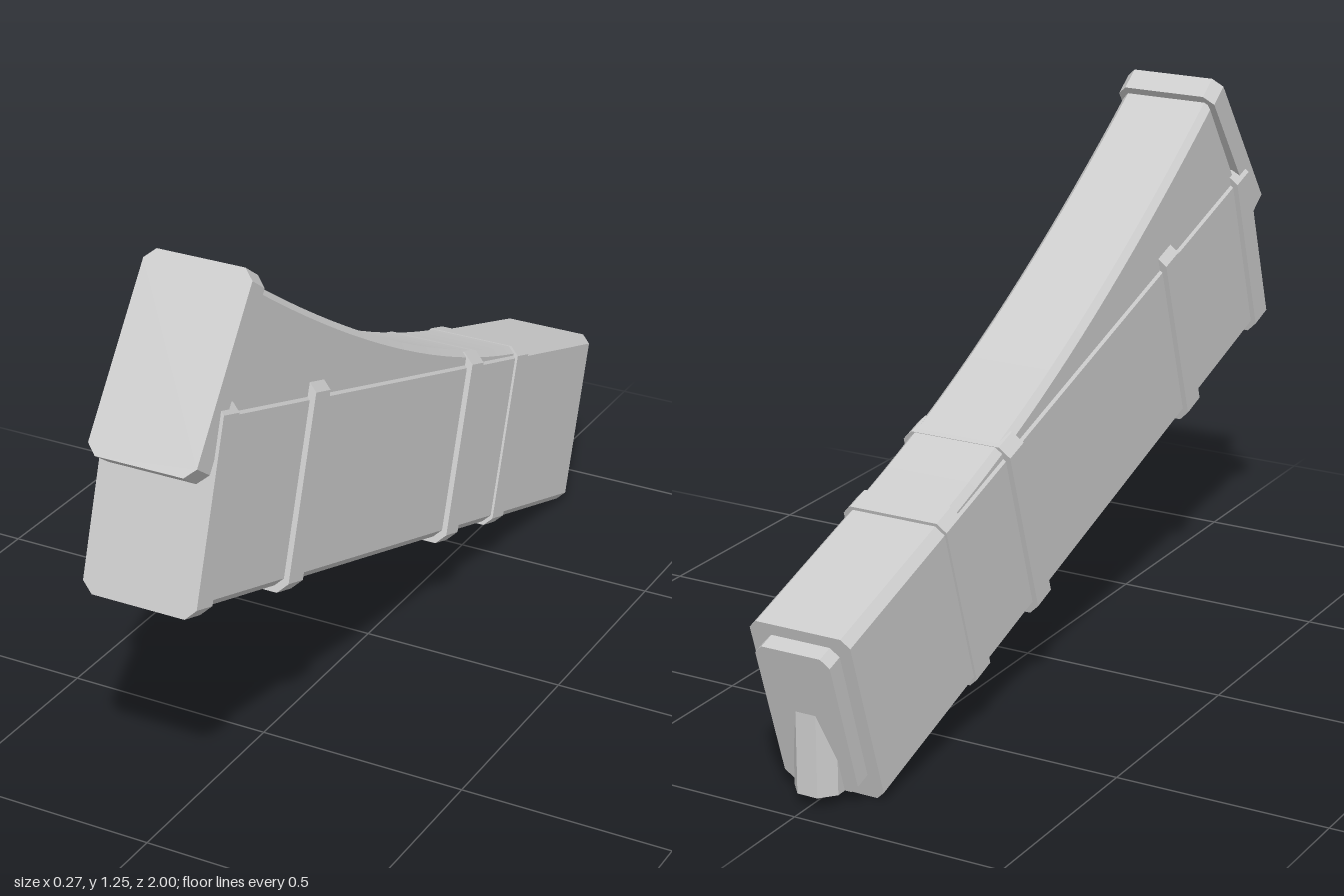
import * as THREE from 'three';

const material = new THREE.MeshStandardMaterial({ color: 0xcccccc, flatShading: true });

// Rectangle with cut corners, centred on x, from y0 to y1
function cutRect(half, y0, y1, cut) {
  const s = new THREE.Shape();
  s.moveTo(-half + cut, y0);
  s.lineTo(half - cut, y0);
  s.lineTo(half, y0 + cut);
  s.lineTo(half, y1 - cut);
  s.lineTo(half - cut, y1);
  s.lineTo(-half + cut, y1);
  s.lineTo(-half, y1 - cut);
  s.lineTo(-half, y0 + cut);
  s.closePath();
  return s;
}

// Cut-corner block reaching from depth u0 to u1 behind the local front
function block(name, half, y0, y1, cut, u0, u1) {
  const g = new THREE.ExtrudeGeometry(cutRect(half, y0, y1, cut), { depth: u1 - u0, bevelEnabled: false });
  g.translate(0, 0, -u1);
  const m = new THREE.Mesh(g, material);
  m.name = name;
  return m;
}

export function createModel() {
  const model = new THREE.Group();
  model.name = 'model';

  // Tilted casing with its collar, bands and rear plate
  const casing = new THREE.Group();
  casing.name = 'casing';
  casing.position.set(0, 0.59, 1);
  casing.rotation.x = -THREE.MathUtils.degToRad(17.8);
  casing.add(
    block('body', 0.124, 0.003, 0.436, 0.02, 0.01, 1.93),
    block('frontCollar', 0.137, -0.008, 0.45, 0.025, 0, 0.065),
    block('frontBand', 0.137, -0.012, 0.46, 0.025, 0.397, 0.463),
    block('middleBand', 0.137, -0.012, 0.452, 0.025, 1.189, 1.252),
    block('rearBand', 0.13, -0.005, 0.444, 0.021, 1.467, 1.53),
    block('rearPlate', 0.092, 0.045, 0.407, 0.02, 1.92, 1.97),
  );
  model.add(casing);

  // Curved wedge rising out of the casing towards the front, drawn as (z, y)
  const profile = new THREE.Shape();
  profile.moveTo(0.69, 1.208);
  profile.quadraticCurveTo(0.01, 0.735, -0.56, 0.553);
  profile.lineTo(-0.56, 0.4);
  profile.lineTo(0.8, 0.8);
  profile.lineTo(0.91, 0.885);
  profile.closePath();
  const bevel = 0.015, half = 0.118;
  const wedgeGeo = new THREE.ExtrudeGeometry(profile, {
    depth: 2 * (half - bevel), curveSegments: 20,
    bevelThickness: bevel, bevelSize: bevel, bevelOffset: -bevel, bevelSegments: 1,
  });
  wedgeGeo.translate(0, 0, -(half - bevel));
  wedgeGeo.rotateY(-Math.PI / 2);
  const wedge = new THREE.Mesh(wedgeGeo, material);
  wedge.name = 'curvedWedge';
  model.add(wedge);

  // Slanted cap closing the wedge
  const cap = block('frontCap', 0.129, 0, 0.444, 0.024, 0, 0.06);
  cap.position.set(0, 0.895, 0.98);
  cap.rotation.x = -THREE.MathUtils.degToRad(35.8);
  model.add(cap);

  // Upright peg emerging from the rear plate, drawn as (x, -z)
  const section = new THREE.Shape([
    [-0.055, 0.865], [0.055, 0.865], [0.055, 0.915], [0.025, 0.95], [-0.025, 0.95], [-0.055, 0.915],
  ].map(([x, z]) => new THREE.Vector2(x, z)));
  const pegGeo = new THREE.ExtrudeGeometry(section, { depth: 0.25, bevelEnabled: false });
  pegGeo.rotateX(-Math.PI / 2);
  const peg = new THREE.Mesh(pegGeo, material);
  peg.name = 'rearPeg';
  peg.position.y = 0.03;
  model.add(peg);

  return model;
}
